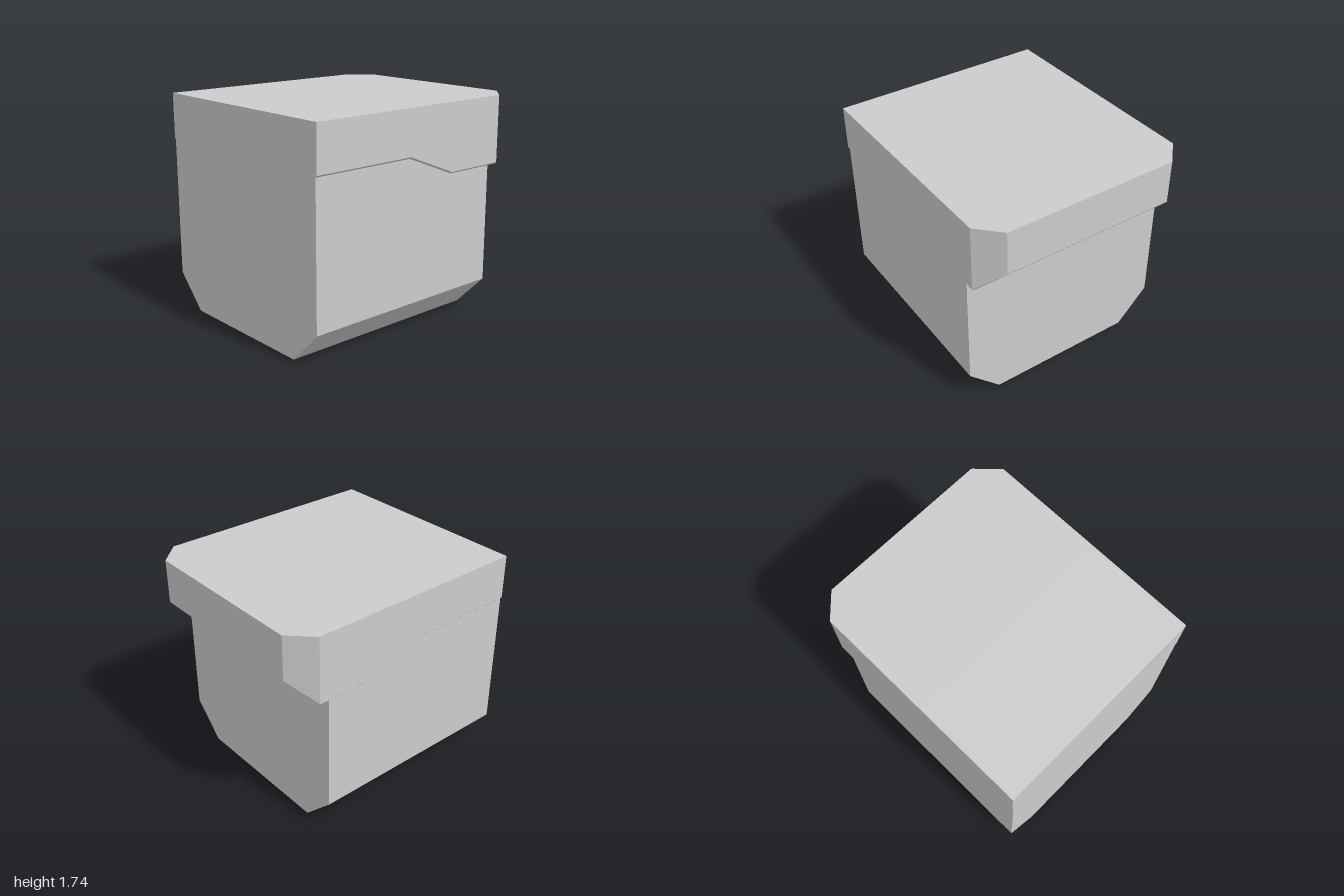
import * as THREE from 'three';

const material = new THREE.MeshStandardMaterial({ color: 0xcccccc, flatShading: true });

// Closed solid through sections along x; each is { x, ring } with convex ring points [z, y],
// running counter-clockwise as seen from +x.
function loft(name, sections) {
  const pos = [];
  const rings = sections.map(({ x, ring }) => ring.map(([z, y]) => [x, y, z]));
  const tri = (a, b, c) => pos.push(...a, ...b, ...c);
  for (let s = 0; s < rings.length - 1; s++) {
    const a = rings[s], b = rings[s + 1];
    for (let i = 0; i < a.length; i++) {
      const j = (i + 1) % a.length;
      tri(a[i], a[j], b[j]);
      tri(a[i], b[j], b[i]);
    }
  }
  const first = rings[0], last = rings[rings.length - 1];
  for (let i = 1; i < first.length - 1; i++) {
    tri(first[0], first[i + 1], first[i]);
    tri(last[0], last[i], last[i + 1]);
  }
  const geometry = new THREE.BufferGeometry();
  geometry.setAttribute('position', new THREE.Float32BufferAttribute(pos, 3));
  geometry.computeVertexNormals();
  const mesh = new THREE.Mesh(geometry, material);
  mesh.name = name;
  return mesh;
}

// Mirrors the +z half of a ring, listed from top to bottom
const mirrorRing = (half) => [...half, ...half.map(([z, y]) => [-z, y]).reverse()];

export function createModel() {
  const group = new THREE.Group();
  group.name = 'liddedBox';

  // Body: straight walls, chamfered lower edges, top following the seam
  const seam = [[-1, 1.375], [-0.13, 1.375], [0.31, 1.2], [0.735, 1.2]];
  group.add(loft('body', seam.map(([x, y]) => ({
    x, ring: mirrorRing([[0.868, y], [0.868, 0.263], [0.608, 0]]),
  }))));

  // Lid: stepped lower edge with a thin bevelled lip, front corners cut, sloping overhang
  const lidSections = [
    // x, lower y, half depth, lip
    [-1, 1.375, 0.88, 0.013],
    [-0.13, 1.375, 0.88, 0.013],
    [0.31, 1.2, 0.88, 0.013],
    [0.825, 1.2, 0.88, 0.013],
    [1, 1.39, 0.71, 0],
  ];
  group.add(loft('lid', lidSections.map(([x, y, w, lip]) => ({
    x, ring: mirrorRing([[w, 1.742], [w, y + lip], [w - lip, y]]),
  }))));
  return group;
}
